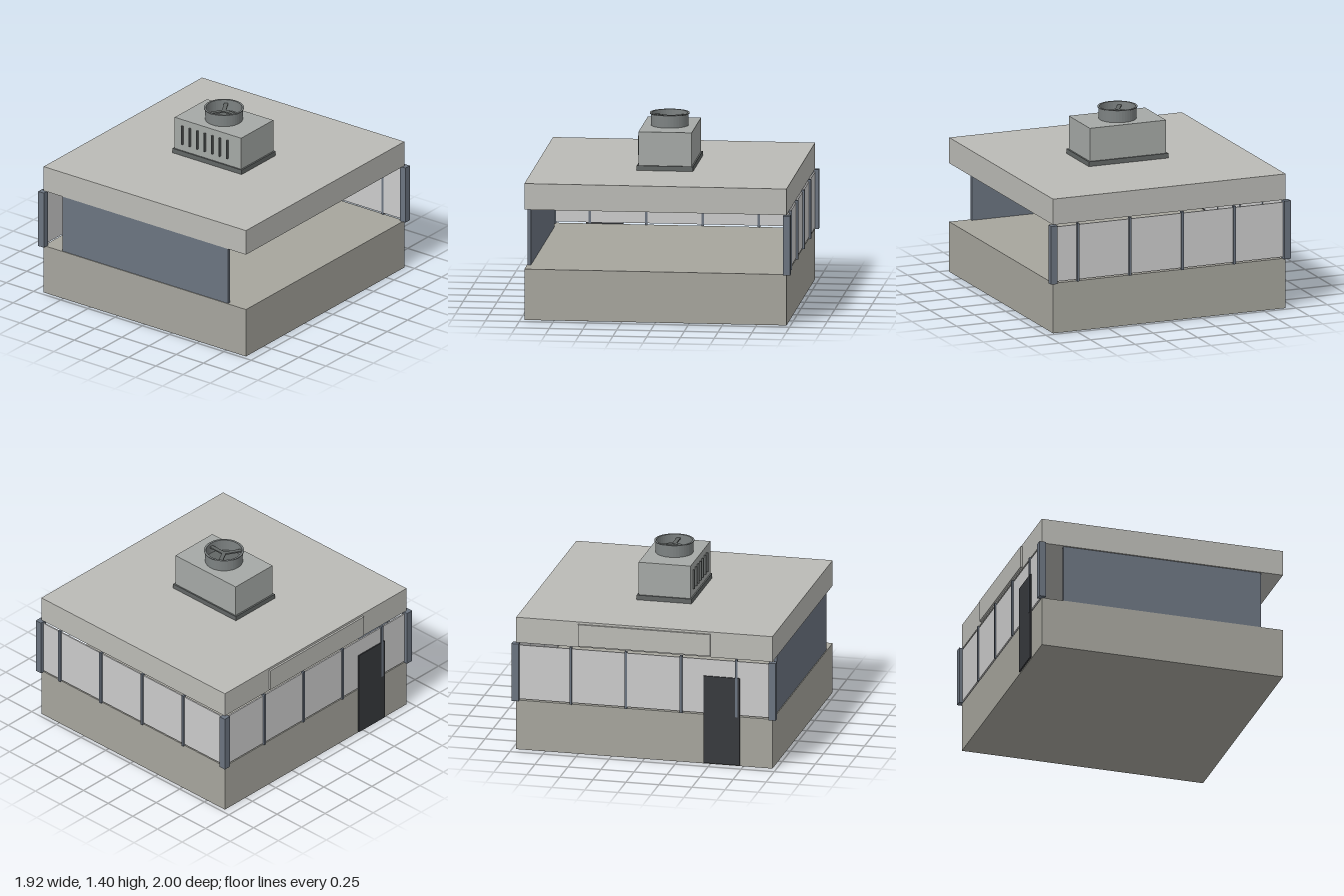
import * as THREE from 'three';

const mat = (color, extra = {}) => new THREE.MeshStandardMaterial({ color, ...extra });

export function createModel() {
  const model = new THREE.Group();
  const wall = mat(0xa6a59d), roofing = mat(0xbbbbb6), glass = mat(0xcccccc);
  const steel = mat(0x6b7480), dark = mat(0x37393d), sheet = mat(0xa5a9a6), trim = mat(0x626665);
  const duct = mat(0x7d8282, { side: THREE.DoubleSide });

  // Box given by its limits on each axis
  const box = (parent, name, material, [x0, x1], [y0, y1], [z0, z1]) => {
    const m = new THREE.Mesh(new THREE.BoxGeometry(x1 - x0, y1 - y0, z1 - z0), material);
    m.position.set((x0 + x1) / 2, (y0 + y1) / 2, (z0 + z1) / 2);
    m.name = name;
    parent.add(m);
    return m;
  };
  const group = (name) => {
    const g = new THREE.Group();
    g.name = name;
    model.add(g);
    return g;
  };

  // Main blocks
  box(model, 'baseWall', wall, [-0.93, 0.93], [0, 0.38], [-0.97, 0.97]);
  box(model, 'roofSlab', roofing, [-0.93, 0.93], [0.825, 1.02], [-0.97, 0.97]);

  // Window band: corner posts, glazing and mullions on the back and one side
  const band = [0.38, 0.822], pane = [0.392, 0.808];
  const windows = group('windowBand');
  for (const [x, z] of [[-0.932, -0.973], [0.932, -0.973], [-0.932, 0.973]])
    box(windows, 'cornerPost', steel, [x - 0.026, x + 0.026], band, [z - 0.027, z + 0.027]);
  box(windows, 'backGlass', glass, [-0.908, 0.908], pane, [-0.973, -0.962]);
  box(windows, 'sideGlass', glass, [-0.933, -0.922], pane, [-0.948, 0.948]);
  for (const x of [-0.515, -0.1, 0.318, 0.735])
    box(windows, 'backMullion', steel, [x - 0.009, x + 0.009], band, [-0.988, -0.96]);
  for (const z of [-0.555, -0.138, 0.28, 0.698])
    box(windows, 'sideMullion', steel, [-0.944, -0.918], band, [z - 0.009, z + 0.009]);

  // Front panel, door and fascia board
  box(model, 'frontShutter', steel, [-0.762, 0.762], band, [0.94, 0.964]);
  box(model, 'door', dark, [-0.942, -0.926], [0.008, 0.68], [0.45, 0.725]);
  box(model, 'fasciaBoard', roofing, [-0.945, -0.928], [0.837, 1.003], [-0.5, 0.5]);

  // Rooftop ventilation unit
  const unit = group('rooftopUnit');
  box(unit, 'unitCurb', trim, [-0.318, 0.318], [1.02, 1.056], [-0.208, 0.208]);
  box(unit, 'unitHousing', sheet, [-0.305, 0.305], [1.056, 1.307], [-0.197, 0.197]);
  for (let i = 0; i < 7; i++) {
    const x = -0.232 + i * 0.069;
    box(unit, 'ventSlat', trim, [x - 0.006, x + 0.006], [1.11, 1.258], [0.195, 0.212]);
  }

  // Open fan duct with a thin rolled rim
  const profile = [[0.132, 1.307], [0.132, 1.4], [0.147, 1.4], [0.147, 1.394], [0.139, 1.394], [0.139, 1.307]];
  const shroud = new THREE.Mesh(
    new THREE.LatheGeometry(profile.map(([r, y]) => new THREE.Vector2(r, y)), 40), duct);
  shroud.geometry = shroud.geometry.toNonIndexed();
  shroud.geometry.computeVertexNormals();
  shroud.name = 'fanDuct';
  unit.add(shroud);
  const floor = new THREE.Mesh(new THREE.CylinderGeometry(0.133, 0.133, 0.006, 40), trim);
  floor.position.y = 1.311;
  floor.name = 'ductFloor';
  unit.add(floor);
  for (let i = 0; i < 3; i++) {
    const arm = new THREE.Group();
    arm.name = 'fanBlade';
    arm.rotation.y = (i * Math.PI * 2) / 3;
    box(arm, 'blade', trim, [0, 0.13], [1.365, 1.375], [-0.015, 0.015]);
    unit.add(arm);
  }
  return model;
}
